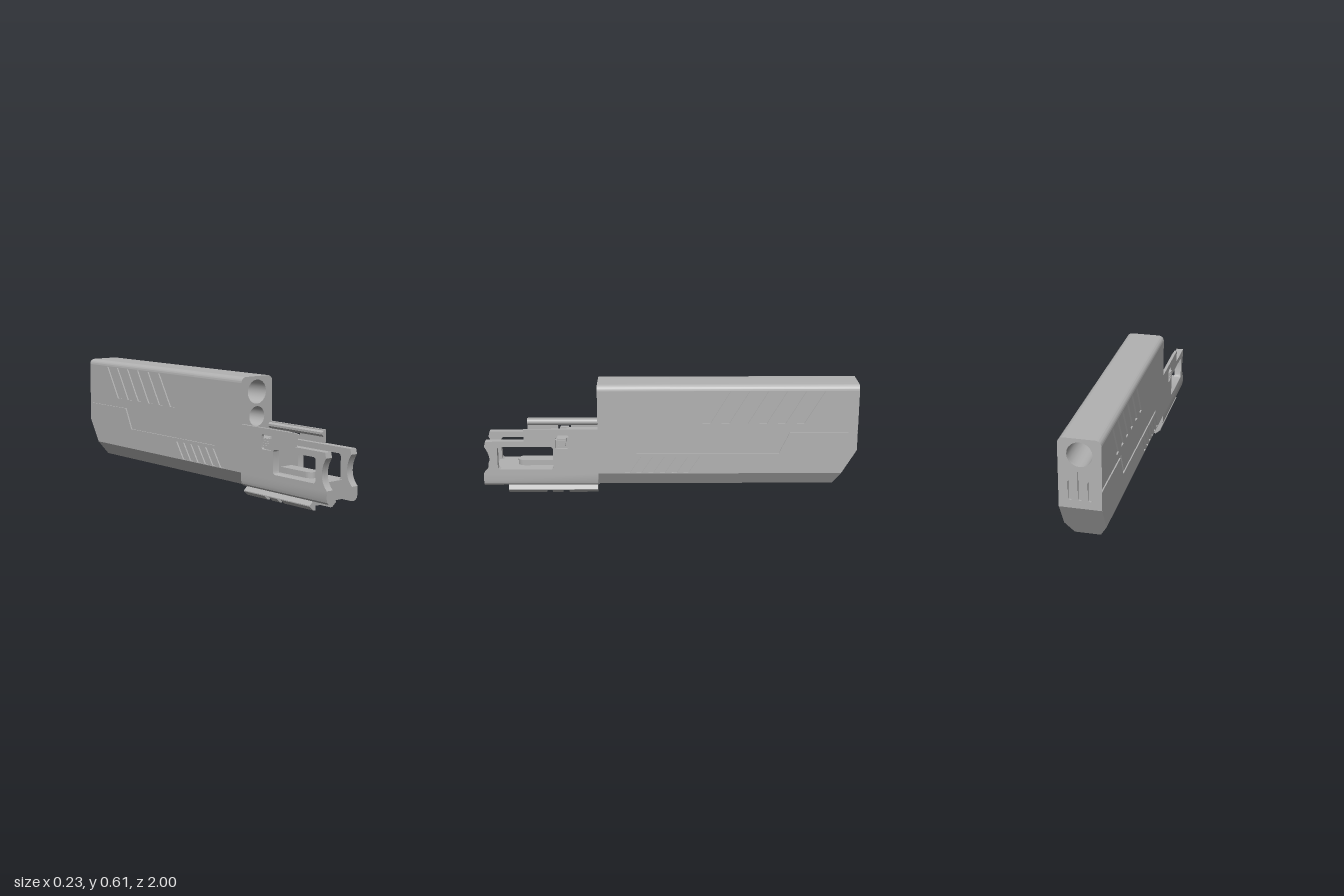
import * as THREE from 'three';
import { toCreasedNormals } from 'three/addons/utils/BufferGeometryUtils.js';

const poly = (pts) => new THREE.Shape(pts.map(([a, b]) => new THREE.Vector2(a, b)));
const rect = (a0, a1, b0, b1) => poly([[a0, b0], [a1, b0], [a1, b1], [a0, b1]]);

function roundRect(a0, a1, b0, b1, r) {
  const s = new THREE.Shape();
  s.absarc(a1 - r, b0 + r, r, -Math.PI / 2, 0);
  s.absarc(a1 - r, b1 - r, r, 0, Math.PI / 2);
  s.absarc(a0 + r, b1 - r, r, Math.PI / 2, Math.PI);
  s.absarc(a0 + r, b0 + r, r, Math.PI, Math.PI * 1.5);
  s.closePath();
  return s;
}

function circle(x, y, r) {
  const s = new THREE.Shape();
  s.absarc(x, y, r, 0, Math.PI * 2);
  return s;
}

export function createModel() {
  const group = new THREE.Group();
  const grey = new THREE.MeshStandardMaterial({ color: 0xb2b2b2 });
  grey.name = 'matte grey';

  const add = (name, geo) => {
    const mesh = new THREE.Mesh(toCreasedNormals(geo, 0.5), grey);
    mesh.name = name;
    group.add(mesh);
  };
  const extrude = (shape, depth, holes = []) => {
    shape.holes = holes;
    return new THREE.ExtrudeGeometry(shape, { depth, bevelEnabled: false, curveSegments: 10 });
  };
  // Cross-section in x-y, run from z0 to z1
  const alongZ = (name, shape, z0, z1, holes) =>
    add(name, extrude(shape, z1 - z0, holes).translate(0, 0, z0));
  // Outline in z-y, from x0 to x1, on both sides of the model
  const sidePair = (name, makeShape, x0, x1, makeHoles = () => []) => {
    for (const [side, outer] of [['left', x1], ['right', -x0]]) {
      const geo = extrude(makeShape(), x1 - x0, makeHoles()).rotateY(-Math.PI / 2);
      add(side + name, geo.translate(outer, 0, 0));
    }
  };
  const box = (name, x0, x1, y0, y1, z0, z1) => alongZ(name, rect(x0, x1, y0, y1), z0, z1);

  const W = 0.105, CORE = 0.097, FRONT = 0.385;

  // Upper housing with rounded top, the long bore and the blind socket
  const upper = () => {
    const s = new THREE.Shape();
    s.moveTo(-CORE, 0.25);
    s.lineTo(CORE, 0.25);
    s.lineTo(CORE, 0.58);
    s.lineTo(W, 0.58);
    s.absarc(W - 0.03, 0.58, 0.03, 0, Math.PI / 2);
    s.absarc(-W + 0.03, 0.58, 0.03, Math.PI / 2, Math.PI);
    s.lineTo(-CORE, 0.58);
    s.closePath();
    return s;
  };
  const bore = () => circle(0, 0.53, 0.0625);
  alongZ('upperHousingFront', upper(), 0, FRONT, [bore(), circle(0, 0.403, 0.052)]);
  alongZ('upperHousingRear', upper(), -0.988, 0, [bore()]);

  // Rear plate with three vent slots
  const vents = [[-0.048, 0.395], [0, 0.445], [0.048, 0.395]]
    .map(([x, top]) => roundRect(x - 0.011, x + 0.011, 0.29, top, 0.0108));
  alongZ('rearPlate', upper(), -1, -0.988, [bore(), ...vents]);

  // Lower housing with chamfered edges; its rear end slopes forward
  const lower = poly([[-0.065, 0.05], [0.065, 0.05], [W, 0.12], [CORE, 0.12],
    [CORE, 0.25], [-CORE, 0.25], [-CORE, 0.12], [-W, 0.12]]);
  const lowerGeo = extrude(lower, FRONT + 1).translate(0, 0, -1);
  const p = lowerGeo.attributes.position;
  for (let i = 0; i < p.count; i++) {
    if (p.getZ(i) < 0) p.setZ(i, -1 + (0.25 - p.getY(i)) * 0.6);
  }
  lowerGeo.computeVertexNormals();
  add('lowerHousing', lowerGeo);

  // Side skins cut with slanted slots and the stepped groove
  const slot = (z, y0, y1, width, lean) =>
    poly([[z, y0], [z + width, y0], [z + width - lean, y1], [z - lean, y1]]);
  const skin = () => poly([[FRONT, 0.12], [FRONT, 0.58], [-1, 0.58], [-1, 0.25], [-0.922, 0.12]]);
  const cuts = () => {
    const holes = [poly([[0.18, 0.233], [0.18, 0.247], [-0.573, 0.247], [-0.628, 0.362],
      [-0.997, 0.362], [-0.997, 0.348], [-0.638, 0.348], [-0.583, 0.233]])];
    for (let i = 0; i < 6; i++) {
      holes.push(slot(-0.215 - i * 0.1, 0.4, 0.577, 0.042, 0.105));
      holes.push(slot(0.215 - i * 0.063, 0.124, 0.215, 0.028, 0.06));
    }
    return holes;
  };
  sidePair('Skin', skin, CORE, W, cuts);

  // Front arms with a window and waisted tips
  const armOutline = (step) => () => {
    const s = new THREE.Shape();
    s.moveTo(FRONT, 0.12);
    s.lineTo(1, 0.12);
    s.bezierCurveTo(0.955, 0.16, 0.955, 0.22, 0.992, 0.275);
    s.lineTo(0.985, 0.303);
    if (step) {
      s.lineTo(0.93, 0.303);
      s.lineTo(0.78, 0.303);
      s.lineTo(0.78, 0.37);
      s.lineTo(FRONT, 0.37);
    } else s.lineTo(FRONT, 0.303);
    s.closePath();
    return s;
  };
  const window = () => roundRect(0.625, 0.923, 0.145, 0.272, 0.015);
  sidePair('ArmInner', armOutline(false), 0.065, 0.09, () => [window()]);
  sidePair('ArmOuter', armOutline(true), 0.09, W,
    () => [window(), roundRect(0.54, 0.612, 0.262, 0.338, 0.01)]);

  for (const s of [1, -1]) {
    const side = s > 0 ? 'left' : 'right';
    const flip = (pts) => poly(pts.map(([x, y]) => [x * s, y]));
    // Rounded lower edge of the arm
    alongZ(side + 'ArmFoot', flip([[0.065, 0.05], [0.08, 0.05], [0.092, 0.053], [0.101, 0.063],
      [W, 0.08], [W, 0.12], [0.065, 0.12]]), FRONT, 1);
    // Guide lip inside the raised part of the arm
    alongZ(side + 'GuideLip', flip([[0.091, 0.366], [0.081, 0.356], [0.081, 0.345], [0.091, 0.332]]),
      FRONT, 0.78);
    // Ribbed catch
    const part = (name, x0, x1, y0, y1, z0, z1) =>
      box(side + name, Math.min(x0 * s, x1 * s), Math.max(x0 * s, x1 * s), y0, y1, z0, z1);
    part('Catch', 0.085, 0.108, 0.277, 0.322, 0.552, 0.6);
    for (let i = 0; i < 4; i++) {
      part('CatchRib', 0.1, 0.113, 0.277 + i * 0.012, 0.285 + i * 0.012, 0.555, 0.597);
    }
  }

  // Floor, raised tongue and stepped block between the arms
  box('floor', -0.065, 0.065, 0.05, 0.145, FRONT, 0.935);
  const tongue = new THREE.Shape();
  tongue.moveTo(-0.038, -0.6);
  tongue.lineTo(0.038, -0.6);
  tongue.lineTo(0.038, -0.785);
  tongue.absarc(0, -0.785, 0.038, 0, -Math.PI, true);
  tongue.closePath();
  add('tongue', extrude(tongue, 0.035).rotateX(-Math.PI / 2).translate(0, 0.14, 0));
  box('innerBlock', -0.066, 0.066, 0.14, 0.302, FRONT, 0.608);
  box('innerBlockStep', -0.09, 0.09, 0.3, 0.32, FRONT, 0.565);

  // Mounting rail with a channel and notched legs
  alongZ('railTop', poly([[-0.065, 0.05], [-0.09, 0.027], [-0.09, 0.022], [0.09, 0.022],
    [0.09, 0.027], [0.065, 0.05]]), 0.39, 0.872);
  for (const [z0, z1] of [[0.39, 0.545], [0.58, 0.636], [0.668, 0.872]]) {
    for (const s of [1, -1]) {
      alongZ('railLeg', poly([[0.051 * s, 0], [0.064 * s, 0], [0.09 * s, 0.022], [0.051 * s, 0.022]]), z0, z1);
    }
  }
  return group;
}
